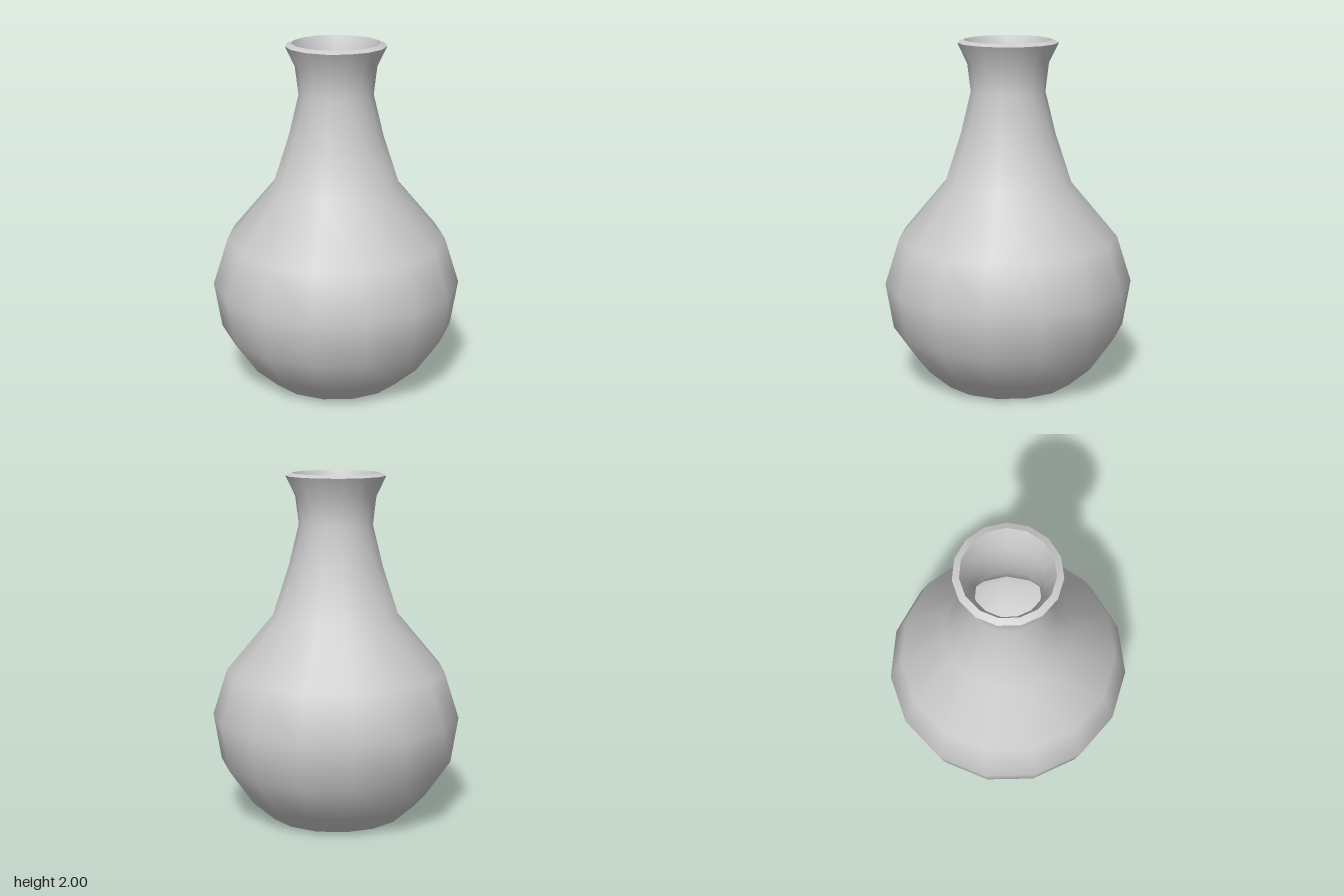
import * as THREE from 'three';

const SIDES = 15;

export function createModel() {
  const vase = new THREE.Group();
  vase.name = 'vase';
  const material = new THREE.MeshStandardMaterial({ color: 0xcccccc });

  // Each part is a separate lathe, so edges between parts stay sharp.
  function addLathe(name, profile) {
    const points = profile.map(([r, y]) => new THREE.Vector2(r, y));
    const mesh = new THREE.Mesh(new THREE.LatheGeometry(points, SIDES, Math.PI), material);
    mesh.name = name;
    mesh.position.z = 0.008; // the odd-sided outline is centred by its bounds
    vase.add(mesh);
  }

  // Outer wall, from the foot to the lip
  const outer = [
    [0.4, 0], [0.533, 0.12], [0.677, 0.33], [0.72, 0.598], [0.635, 0.865],
    [0.366, 1.185], [0.272, 1.47], [0.213, 1.71], [0.232, 1.87], [0.287, 1.985],
  ];
  // Inner wall, from the lip down to the floor
  const inner = [
    [0.25, 2], [0.197, 1.88], [0.176, 1.71], [0.236, 1.46], [0.332, 1.17],
    [0.603, 0.845], [0.683, 0.598], [0.643, 0.345], [0.507, 0.147], [0.387, 0.037],
  ];

  addLathe('outerWall', outer);
  addLathe('innerWall', inner);
  addLathe('rim', [outer[outer.length - 1], inner[0]]);
  addLathe('base', [[0, 0], outer[0]]);
  addLathe('innerFloor', [inner[inner.length - 1], [0, 0.037]]);

  return vase;
}
